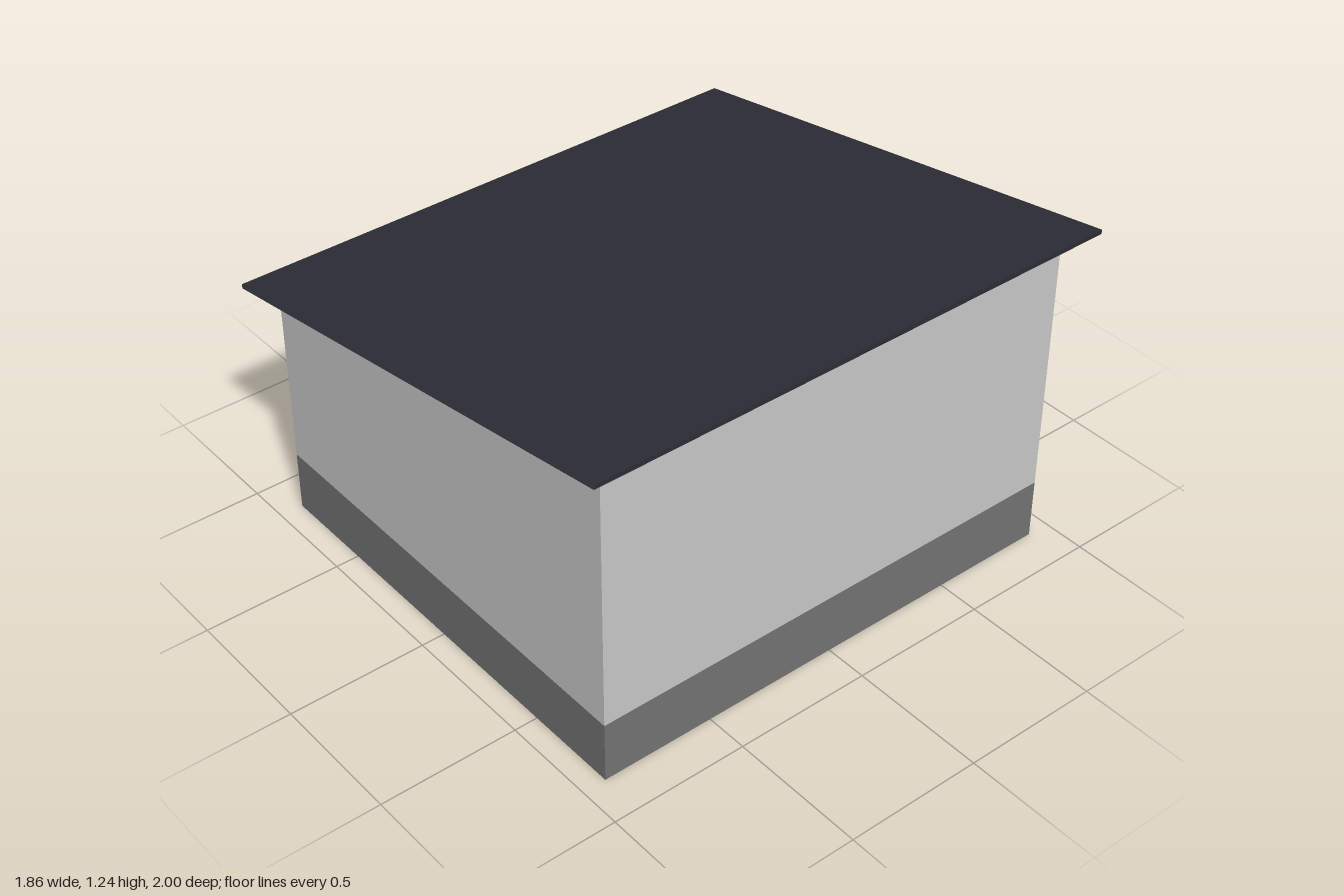
import * as THREE from 'three';

const X = 0.845, Z = 0.915;            // wall half sizes
const ROOF_X = 0.93, ROOF_Z = 1;       // roof half sizes with overhang
const SLOPE = 0.175, MID = 1.078, THICK = 0.016, BASE = 0.225;

const roofY = (x) => MID + SLOPE * x;

// Flat-sided open sleeve between two matching loops of corners,
// both counter-clockwise when seen from the end loop's side
function sleeve(name, start, end, material) {
  const pos = [];
  start.forEach((a, i) => {
    const j = (i + 1) % start.length;
    const b = start[j], c = end[j], d = end[i];
    pos.push(...a, ...b, ...c, ...a, ...c, ...d);
  });
  const geometry = new THREE.BufferGeometry();
  geometry.setAttribute('position', new THREE.Float32BufferAttribute(pos, 3));
  geometry.computeVertexNormals();
  const mesh = new THREE.Mesh(geometry, material);
  mesh.name = name;
  return mesh;
}

// Wall corners at a height that may depend on x
const wallLoop = (height) =>
  [[X, Z], [X, -Z], [-X, -Z], [-X, Z]].map(([x, z]) => [x, height(x), z]);

// Sloped slab section at depth z
const roofLoop = (z) => [
  [-ROOF_X, roofY(-ROOF_X) - THICK, z],
  [ROOF_X, roofY(ROOF_X) - THICK, z],
  [ROOF_X, roofY(ROOF_X), z],
  [-ROOF_X, roofY(-ROOF_X), z],
];

function material(name, color) {
  const m = new THREE.MeshStandardMaterial({ color, side: THREE.DoubleSide });
  m.name = name;
  return m;
}

export function createModel() {
  const group = new THREE.Group();
  group.name = 'shed';
  const plinthGrey = material('plinthGrey', 0x737373);
  const wallGrey = material('wallGrey', 0xc9c9c9);
  const roofSlate = material('roofSlate', 0x2d2d36);

  // Thin plinth band and walls, open underneath
  const ground = wallLoop(() => 0);
  const plinthTop = wallLoop(() => BASE);
  group.add(sleeve('plinth', ground, plinthTop, plinthGrey));
  group.add(sleeve('walls', plinthTop, wallLoop(roofY), wallGrey));

  // Single-pitch roof, open along its front and back edges
  group.add(sleeve('roof', roofLoop(-ROOF_Z), roofLoop(ROOF_Z), roofSlate));
  return group;
}
